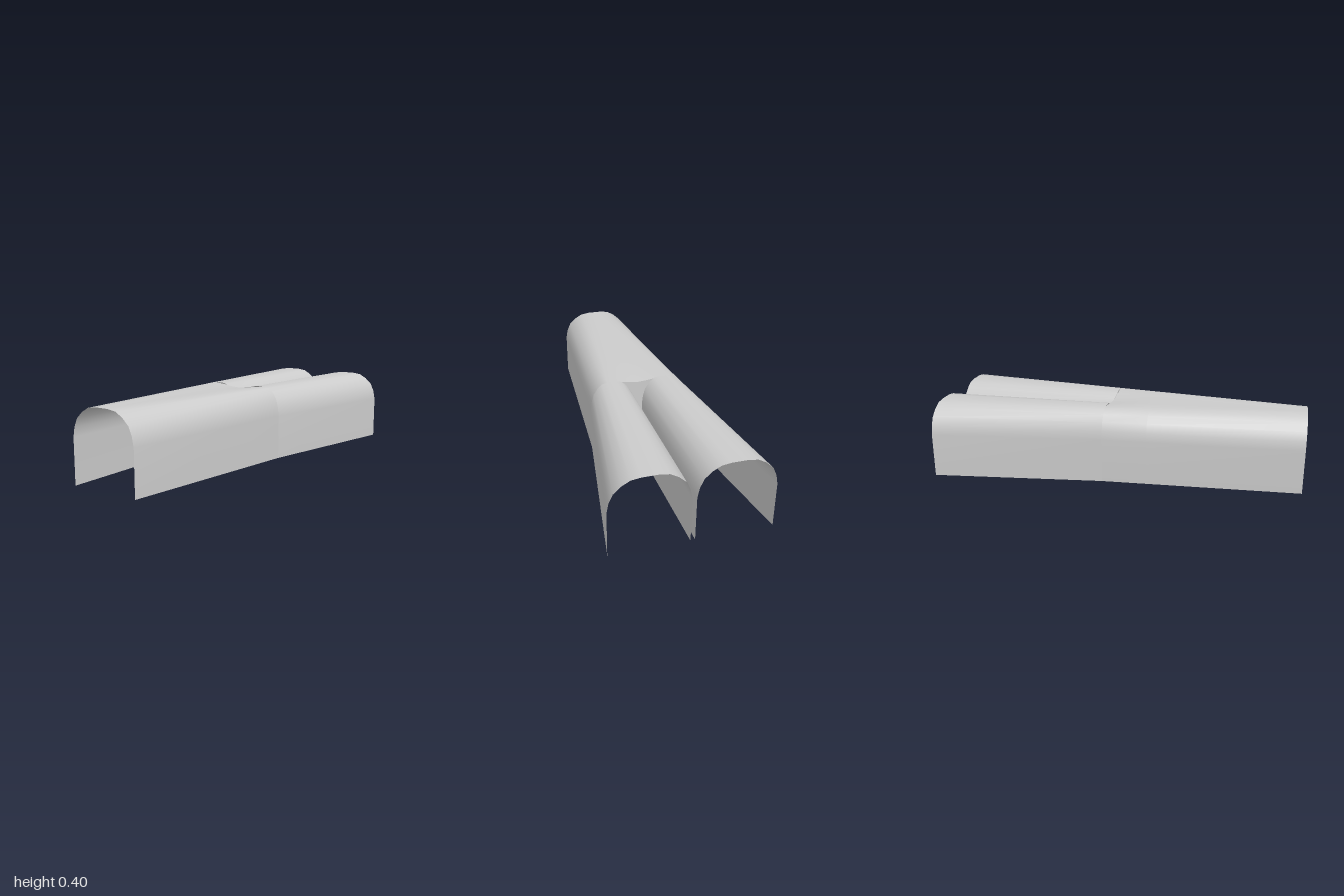
import * as THREE from 'three';

const material = new THREE.MeshStandardMaterial({ color: 0xcccccc, side: THREE.DoubleSide });
const FORK_Z = -0.07;
const MID = -0.01;

// Half arch from floor to crown: [fraction of half width, height]
const HALF = [[1, 0], [1, 0.24], [0.95, 0.29], [0.85, 0.335], [0.66, 0.37], [0.45, 0.393], [0.2, 0.4]];

// Full arch between two wall positions
function arch(x0, x1) {
  const c = (x0 + x1) / 2, w = (x1 - x0) / 2;
  return [
    ...HALF.map(([f, y]) => [c - f * w, y]),
    ...HALF.slice().reverse().map(([f, y]) => [c + f * w, y]),
  ];
}

// Insert three roof points in the middle of an arch section
function withRoof(left, roof, right) {
  return [...left.slice(0, 7), ...roof, ...right.slice(7)];
}

const mix = (a, b, t) => a.map((p, i) => p.map((v, k) => v + (b[i][k] - v) * t));

// Smooth open shell through a list of { z, pts } sections
function loft(name, sections) {
  const n = sections[0].pts.length, pos = [], idx = [];
  for (const { z, pts } of sections) for (const [x, y] of pts) pos.push(x, y, z);
  for (let s = 0; s < sections.length - 1; s++) {
    for (let i = 0; i < n - 1; i++) {
      const a = s * n + i, b = a + n;
      idx.push(a, a + 1, b, a + 1, b + 1, b);
    }
  }
  const g = new THREE.BufferGeometry();
  g.setAttribute('position', new THREE.Float32BufferAttribute(pos, 3));
  g.setIndex(idx);
  g.computeVertexNormals();
  // Make the winding face outwards (first wall faces -x)
  if (g.attributes.normal.getX(0) > 0) {
    g.setIndex(idx.map((_, i) => idx[i - (i % 3) + 2 - (i % 3)]));
    g.computeVertexNormals();
  }
  const mesh = new THREE.Mesh(g, material);
  mesh.name = name;
  return mesh;
}

export function createModel() {
  const group = new THREE.Group();
  group.name = 'forkedTunnel';

  // Branch sections where they meet the main tunnel
  const leftFork = arch(0.02, 0.265), rightFork = arch(-0.285, -0.03);

  // Main tunnel, widening towards the fork, its roof dipping at the end
  const entry = arch(-0.21, 0.19);
  const start = withRoof(entry, [[-0.025, 0.4], [-0.018, 0.4], [MID, 0.4], [0, 0.4], [0.008, 0.4]], entry);
  const sag = [[-0.105, 0.391], [-0.06, 0.384], [MID, 0.38], [0.045, 0.384], [0.095, 0.391]];
  const end = withRoof(rightFork, sag, leftFork);
  const flatEnd = withRoof(rightFork, sag.map(([x]) => [x, 0.4]), leftFork);
  group.add(loft('mainTunnel', [
    { z: 1, pts: start },
    { z: 0.17, pts: mix(start, flatEnd, 0.775) },
    { z: FORK_Z, pts: end },
  ]));

  // Two branches, widening towards the back
  group.add(loft('leftBranch', [{ z: FORK_Z, pts: leftFork }, { z: -1, pts: arch(0.01, 0.41) }]));
  group.add(loft('rightBranch', [{ z: FORK_Z, pts: rightFork }, { z: -1, pts: arch(-0.41, -0.013) }]));

  // Flared panel closing the gap between the branches
  const outline = [...rightFork.slice(8).reverse(), ...leftFork.slice(0, 6), ...sag.slice().reverse()];
  const panel = new THREE.Mesh(
    new THREE.ShapeGeometry(new THREE.Shape(outline.map(([x, y]) => new THREE.Vector2(x, y)))),
    material,
  );
  panel.name = 'forkPanel';
  panel.position.z = FORK_Z;
  group.add(panel);

  return group;
}
